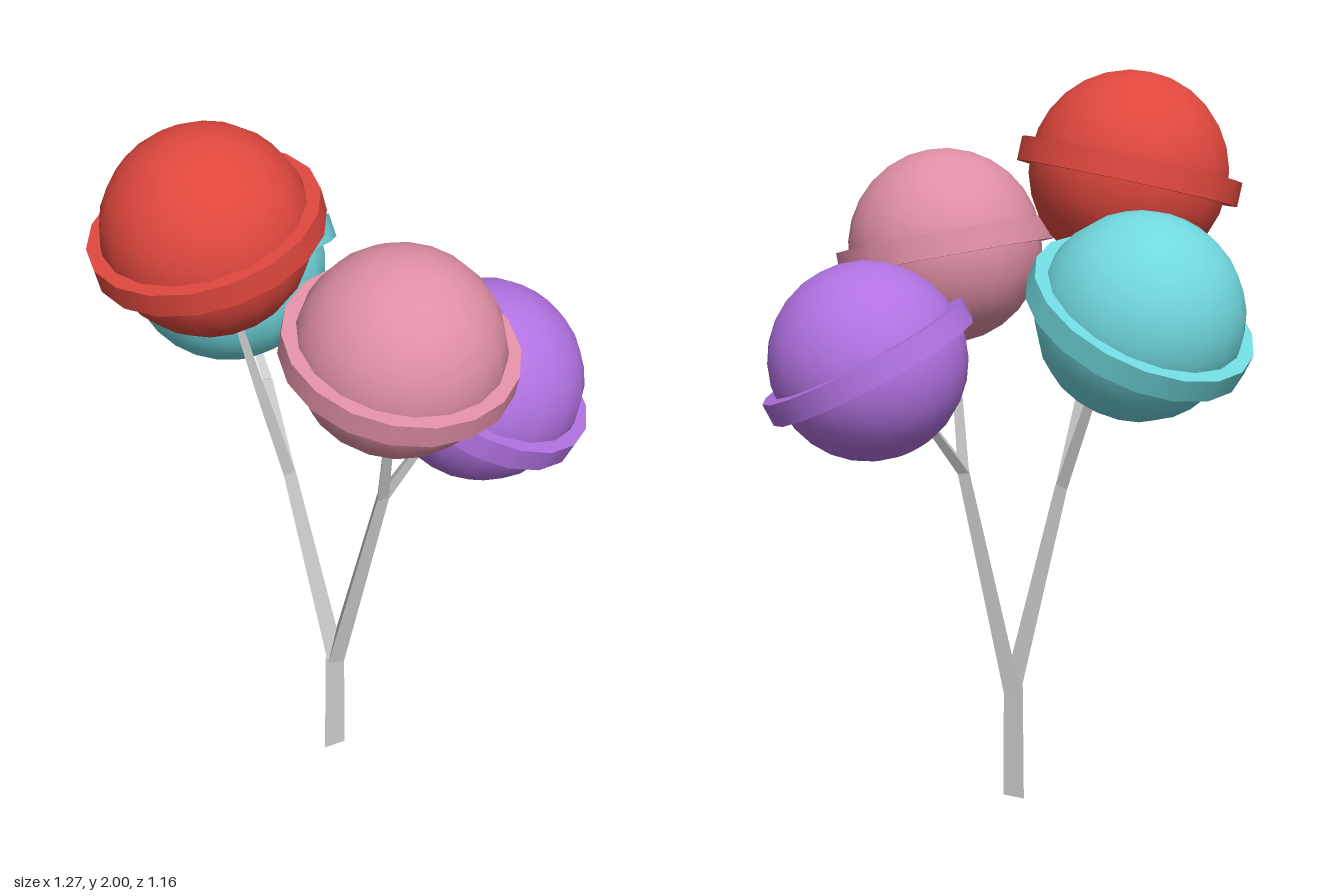
import * as THREE from 'three';

const v = (x, y, z) => new THREE.Vector3(x, y, z);
const UP = v(0, 1, 0);

// Tapered three-sided stick between two points
function stick(name, a, b, ra, rb, material) {
  const dir = b.clone().sub(a);
  const geo = new THREE.CylinderGeometry(rb, ra, dir.length(), 3, 1, false, -0.5);
  const mesh = new THREE.Mesh(geo, material);
  mesh.position.copy(a).lerp(b, 0.5);
  mesh.quaternion.setFromUnitVectors(UP, dir.normalize());
  mesh.name = name;
  return mesh;
}

// Candy ball with a raised band round its equator, tilted along an axis
function candy(name, centre, axis, color) {
  const group = new THREE.Group();
  const material = new THREE.MeshStandardMaterial({ color });
  const ball = new THREE.Mesh(new THREE.SphereGeometry(0.267, 18, 14), material);
  ball.name = 'ball';
  const band = new THREE.Mesh(new THREE.CylinderGeometry(0.3, 0.3, 0.064, 18), material);
  band.name = 'band';
  group.add(ball, band);
  group.position.copy(centre);
  group.quaternion.setFromUnitVectors(UP, axis.normalize());
  group.name = name;
  return group;
}

export function createModel() {
  const model = new THREE.Group();
  model.name = 'candyTree';
  const bark = new THREE.MeshStandardMaterial({ color: 0xcccccc, flatShading: true });

  // Trunk and the two main limbs
  const crotch = v(-0.03, 0.31, 0.02);
  const limbs = {
    right: v(-0.158, 0.91, -0.04),
    left: v(0.103, 0.92, 0.075),
  };
  model.add(stick('trunk', v(-0.037, 0, 0.022), v(-0.035, 0.33, 0.02), 0.037, 0.034, bark));
  for (const side in limbs) {
    model.add(stick(side + 'Limb', crotch, limbs[side], 0.03, 0.021, bark));
  }

  // Each candy grows from a twig that bends once on its way from the limb
  const candies = [
    ['red', 'right', v(-0.335, 1.735, 0.108), v(-0.22, 1, 0.14), 0xe0483e, v(-0.222, 1.2, 0.015)],
    ['teal', 'right', v(-0.338, 1.42, -0.29), v(-0.35, 0.87, -0.36), 0x70d8de, v(-0.222, 1.15, -0.13)],
    ['pink', 'left', v(0.155, 1.51, 0.28), v(0.18, 1, 0.18), 0xe08fa4, v(0.125, 1.2, 0.18)],
    ['purple', 'left', v(0.36, 1.25, -0.015), v(0.52, 1, 0.05), 0xb272e2, v(0.18, 1.035, 0.05)],
  ];
  for (const [name, side, centre, axis, color, bend] of candies) {
    const tip = bend.clone().lerp(centre, 0.6);
    model.add(stick(name + 'TwigLower', limbs[side], bend, 0.02, 0.016, bark));
    model.add(stick(name + 'TwigUpper', bend, tip, 0.016, 0.01, bark));
    model.add(candy(name + 'Candy', centre, axis, color));
  }
  return model;
}
